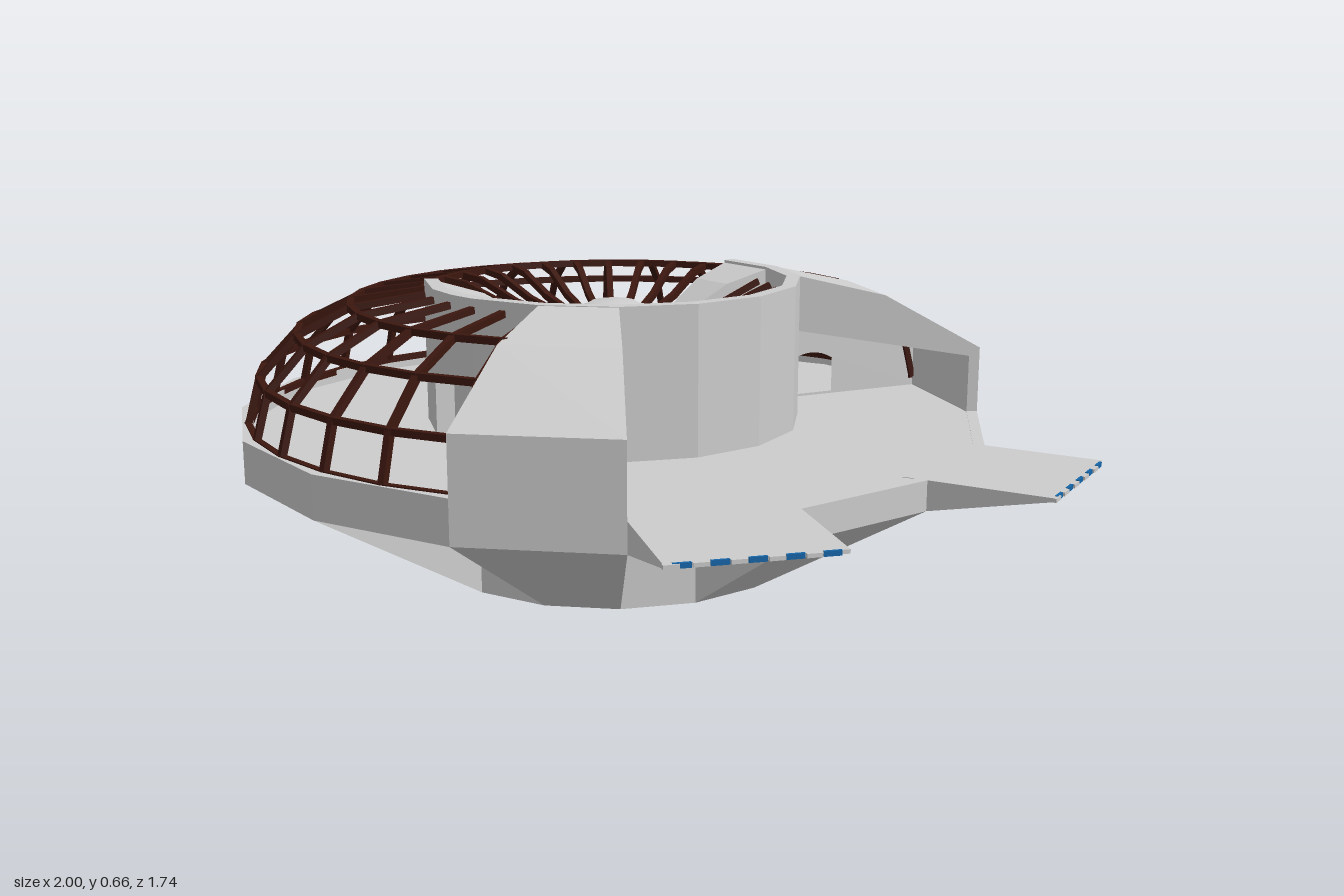
import * as THREE from 'three';
import { mergeGeometries } from 'three/addons/utils/BufferGeometryUtils.js';

const CX = -0.13;                 // axis of the round hull
const RAD = Math.PI / 180;
const STEP = 22.5;                // sixteen-sided hull
const polar = (deg, r, y) => new THREE.Vector3(r * Math.sin(deg * RAD), y, r * Math.cos(deg * RAD));

// Solid wedge: an (r, y) outline swept straight between two angles about the axis
function sector(outline, a0, a1) {
  let pts = outline.map(([r, y]) => new THREE.Vector2(r, y));
  if (THREE.ShapeUtils.area(pts) < 0) pts.reverse();
  const pos = [];
  const tri = (...v) => v.forEach((p) => pos.push(p.x, p.y, p.z));
  const P = (i, a) => polar(a, pts[i].x, pts[i].y);
  pts.forEach((_, i) => {
    const j = (i + 1) % pts.length;
    tri(P(j, a0), P(i, a0), P(i, a1));
    tri(P(j, a0), P(i, a1), P(j, a1));
  });
  for (const [a, b, c] of THREE.ShapeUtils.triangulateShape(pts, [])) {
    tri(P(a, a0), P(b, a0), P(c, a0));
    tri(P(c, a1), P(b, a1), P(a, a1));
  }
  const g = new THREE.BufferGeometry();
  g.setAttribute('position', new THREE.Float32BufferAttribute(pos, 3));
  g.computeVertexNormals();
  return g;
}

// Square bar between two points
function bar(a, b, t = 0.015) {
  const g = new THREE.BoxGeometry(t, t, a.distanceTo(b) + t * 0.5);
  const m = new THREE.Matrix4().lookAt(b, a, new THREE.Vector3(0, 1, 0.001));
  return g.applyMatrix4(m.setPosition(a.clone().add(b).multiplyScalar(0.5)));
}

const shapeOf = (pts) => new THREE.Shape(pts.map(([x, y]) => new THREE.Vector2(x, y)));

export function createModel() {
  const grey = new THREE.MeshStandardMaterial({ color: 0xcccccc });
  grey.name = 'hull grey';
  const greySheet = new THREE.MeshStandardMaterial({ color: 0xcccccc, side: THREE.DoubleSide });
  greySheet.name = 'hull grey sheet';
  const brown = new THREE.MeshStandardMaterial({ color: 0x3c170f });
  brown.name = 'frame brown';
  const stairBrown = new THREE.MeshStandardMaterial({ color: 0x55281c });
  stairBrown.name = 'stair brown';
  const blue = new THREE.MeshStandardMaterial({ color: 0x1565a8 });
  blue.name = 'light blue';

  const model = new THREE.Group();
  const ship = new THREE.Group();
  ship.name = 'ship';
  ship.position.x = CX;
  model.add(ship);
  const add = (name, geo, mat, parent = ship) => {
    const mesh = new THREE.Mesh(Array.isArray(geo) ? mergeGeometries(geo) : geo, mat);
    mesh.name = name;
    parent.add(mesh);
    return mesh;
  };

  // Lower hull: struts alternate with recesses; the rim lip is missing on the landing deck
  const hull = [];
  for (let k = 0; k < 16; k++) {
    const top = k >= 2 && k <= 5 ? 0.33 : 0.36;
    const under = k % 2 ? [[0.43, 0]] : [[0.43, 0], [0.43, 0.13]];
    hull.push(sector([[0, 0], ...under, [0.87, 0.265], [0.87, top], [0.845, top], [0.845, 0.329], [0, 0.329]],
      k * STEP, (k + 1) * STEP));
  }
  add('lowerHull', hull, grey);

  // Landing arms with tapered undersides and blue edge lights
  for (const a of [56.25, 101.25]) {
    const arm = new THREE.Group();
    arm.name = 'landingArm';
    arm.rotation.y = (a - 90) * RAD;
    ship.add(arm);
    const body = new THREE.ExtrudeGeometry(
      shapeOf([[0.8, 0.25], [0.853, 0.265], [1.112, 0.322], [1.112, 0.33], [0.8, 0.33]]),
      { depth: 0.339, bevelEnabled: false });
    add('armSlab', body.translate(0, 0, -0.1695), grey, arm);
    const teeth = [], lights = [];
    for (let i = 0; i < 5; i++) {
      const z = (i - 2) * 0.068;
      teeth.push(new THREE.BoxGeometry(0.008, 0.008, 0.03).translate(1.115, 0.326, z + (i < 4 ? 0.034 : 0.02)));
      lights.push(new THREE.BoxGeometry(0.006, 0.01, 0.034).translate(1.113, 0.326, z));
    }
    add('armTeeth', teeth, grey, arm);
    add('edgeLights', lights, blue, arm);
  }

  // Inner ring wall, open on one side, with a doorway
  const wall = [];
  const wallPiece = (y0, a0, a1) =>
    wall.push(sector([[0.405, y0], [0.437, y0], [0.437, 0.66], [0.405, 0.66]], a0, a1));
  for (let k = -2; k < 8; k++) {
    if (k === -1) {
      wallPiece(0.46, -22.5, -9.5);
      wallPiece(0.325, -9.5, 0);
    } else wallPiece(0.325, k * STEP, (k + 1) * STEP);
  }
  add('ringWall', wall, grey);

  // Wedge-shaped ramps from the ring down to the hub
  const ramp = [[0.16, 0.325], [0.41, 0.325], [0.41, 0.655], [0.3, 0.625], [0.16, 0.545]];
  add('frontRamp', sector(ramp, -45, -22.5), grey);
  add('backRamp', sector(ramp, 157.5, 180), grey);

  // Solid roofed bay at the front
  const roof = [[0.43, 0.66], [0.64, 0.612], [0.87, 0.485]];
  add('frontBay', sector([[0.42, 0.325], [0.87, 0.325], ...roof.slice().reverse(), [0.42, 0.66]], 22.5, 45), grey);

  // Hollow bay at the back: roof shell, open deck side and a wall with an arched door
  add('backBayRoof', sector([...roof, [0.87, 0.325], [0.845, 0.325], [0.845, 0.465], [0.63, 0.585], [0.43, 0.63]],
    135, 157.5), grey);
  const lintel = shapeOf([[0.43, 0.53], [0.845, 0.465], [0.845, 0.325], [0.87, 0.325], ...roof.slice().reverse()]);
  const wallShape = shapeOf([[0.43, 0.325], [0.87, 0.325], ...roof.slice().reverse()]);
  const door = new THREE.Path();
  door.moveTo(0.48, 0.335);
  door.lineTo(0.48, 0.42);
  door.quadraticCurveTo(0.54, 0.455, 0.6, 0.42);
  door.lineTo(0.6, 0.335);
  wallShape.holes.push(door);
  add('backBayLintel', new THREE.ShapeGeometry(lintel), greySheet).rotation.y = 45 * RAD;
  add('backBayDoorWall', new THREE.ShapeGeometry(wallShape), greySheet).rotation.y = 67.5 * RAD;

  // Dome frame: ribs every 11.25 degrees joined by rings
  const dome = [[0.84, 0.355], [0.812, 0.46], [0.725, 0.553], [0.605, 0.612], [0.44, 0.635]];
  const funnel = [[0.44, 0.635], [0.38, 0.625], [0.28, 0.58], [0.17, 0.55]];
  const frame = [], funnelFrame = [];
  const rib = (list, path, a) => {
    for (let i = 1; i < path.length; i++) list.push(bar(polar(a, ...path[i - 1]), polar(a, ...path[i])));
  };
  const half = STEP / 2;
  for (let n = 0; n <= 20; n++) {
    const a = -202.5 + n * half;
    rib(frame, dome, a);
    if (n < 20) {
      dome.forEach(([r, y], i) => {
        if (i < 4 || (a >= -180 && a < -45)) frame.push(bar(polar(a, r, y), polar(a + half, r, y)));
      });
    }
  }
  add('domeFrame', frame, brown);

  // Funnel frame between ring and hub, skipping the two ramps
  for (let n = 0; n < 32; n++) {
    const a = -180 + n * half;
    const onRamp = (a > -45 && a < -22.5) || (a > 157.5 && a < 180);
    if (!onRamp) rib(funnelFrame, a > -180 && a < -45 ? funnel : funnel.slice(1), a);
  }
  add('funnelFrame', funnelFrame, brown);

  // Shallow lens-shaped hub
  const hub = [[0, 0.515], [0.12, 0.525], [0.175, 0.548], [0.18, 0.558], [0.12, 0.582], [0.065, 0.596], [0.05, 0.605], [0, 0.607]];
  add('hub', new THREE.LatheGeometry(hub.map(([x, y]) => new THREE.Vector2(x, y)), 32), grey);

  // Curved stair from floor to hub with a thin rail
  const treads = [], rail = [];
  for (let i = 0; i < 7; i++) {
    const a = -82 + i * 5.2, y = 0.53 - i * 0.028, r = 0.24 + i * 0.015;
    treads.push(sector([[0.17, y], [r, y], [r, y + 0.014], [0.17, y + 0.014]], a, a + 4.6));
    rail.push(bar(polar(a + 2, r, y), polar(a + 2, r, 0.33), 0.007));
    rail.push(bar(polar(a + 2, r - 0.05, y), polar(a + 2, r - 0.05, 0.33), 0.007));
  }
  add('stairTreads', treads, stairBrown);
  add('stairPosts', rail, stairBrown);

  return model;
}
